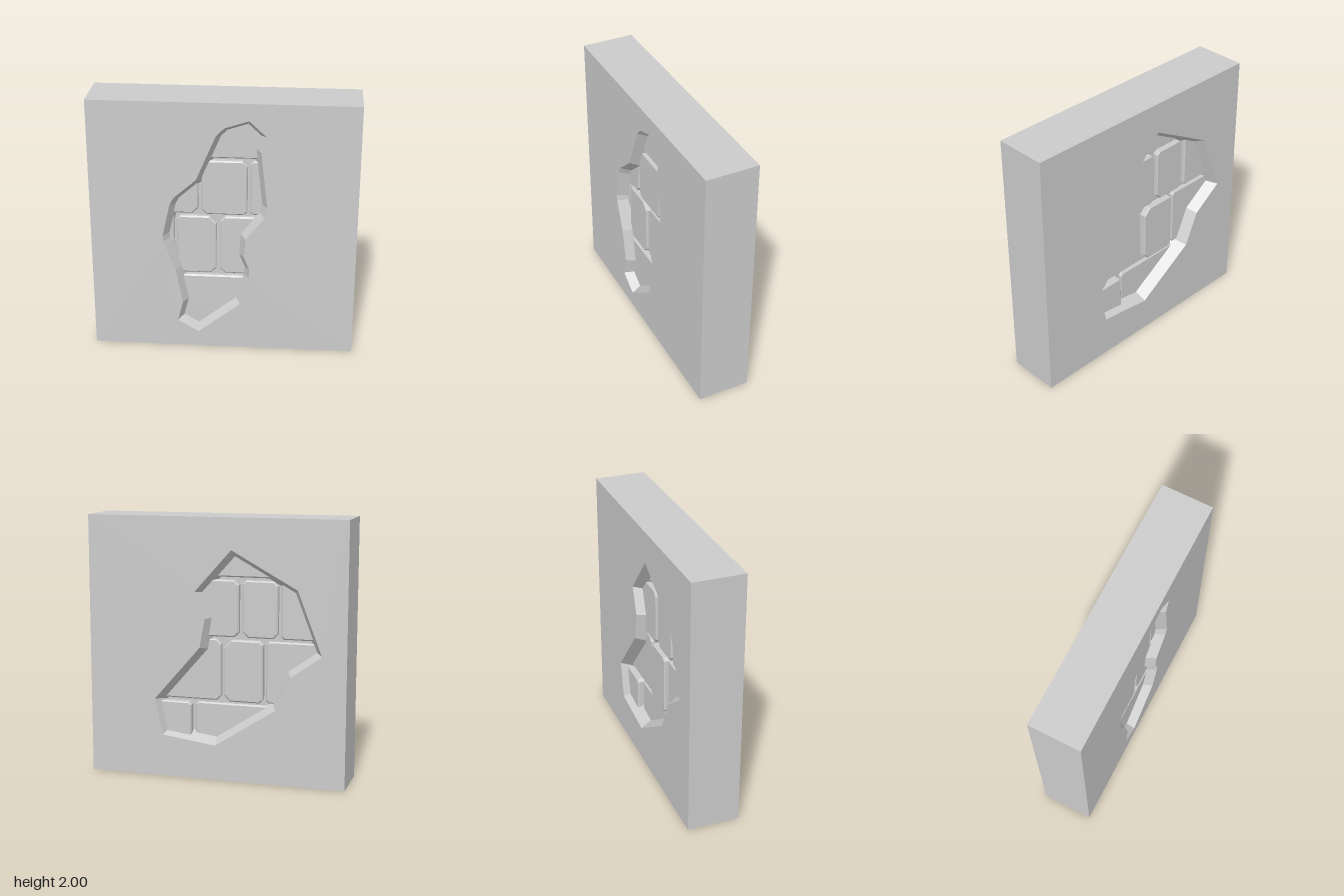
import * as THREE from 'three';

const material = new THREE.MeshStandardMaterial({ color: 0xcccccc, flatShading: true });
const FACE = 0.2; // half the wall thickness

// Broken plaster edges, each as seen when looking straight at its own side
const FRONT_HOLE = [
  [0.19, 1.87], [0.01, 1.81], [-0.05, 1.75], [-0.2, 1.4], [-0.37, 1.25], [-0.4, 1.19],
  [-0.455, 0.94], [-0.45, 0.89], [-0.36, 0.65], [-0.31, 0.38], [-0.35, 0.22], [-0.19, 0.125],
  [0.13, 0.38], [0.2, 0.6], [0.2, 0.68], [0.16, 0.78], [0.17, 0.93], [0.31, 1.11],
  [0.33, 1.19], [0.28, 1.63], [0.32, 1.75],
];
const BACK_HOLE = [
  [0.125, 1.76], [-0.16, 1.44], [-0.08, 1.24], [-0.12, 1.02], [-0.48, 0.605], [-0.42, 0.325],
  [0, 0.27], [0.467, 0.575], [0.58, 0.83], [0.815, 1], [0.63, 1.48],
];

// Bricks: x range, y range, front z, back z, optional corner cuts (BL, BR, TR, TL)
const BRICKS = [
  { x: [-0.6, 0.18], y: [0.1, 0.583], front: 0.13, back: -0.115 },
  { x: [0.205, 0.6], y: [0.1, 0.583], front: 0.13, back: -0.15 },
  { x: [-0.85, -0.375], y: [0.605, 1.078], front: 0.12, back: -0.12 },
  { x: [-0.355, -0.053], y: [0.605, 1.078], front: 0.13, back: -0.14, cuts: [0.02, 0.04, 0.05, 0.02] },
  { x: [-0.025, 0.55], y: [0.605, 1.078], front: 0.125, back: -0.12, cuts: [0.03, 0.03, 0.02, 0.03] },
  { x: [-0.85, -0.49], y: [1.1, 1.53], front: 0.13, back: -0.13 },
  { x: [-0.465, -0.19], y: [1.1, 1.53], front: 0.125, back: -0.13, cuts: [0.03, 0.04, 0.02, 0.03] },
  { x: [-0.165, 0.178], y: [1.1, 1.53], front: 0.135, back: -0.135, cuts: [0.03, 0.02, 0.03, 0.03] },
  { x: [0.2, 0.5], y: [1.1, 1.53], front: 0.125, back: -0.13 },
  { x: [-0.65, 0.5], y: [1.552, 1.92], front: 0.13, back: -0.125 },
];

function add(group, name, geometry) {
  const mesh = new THREE.Mesh(geometry, material);
  mesh.name = name;
  group.add(mesh);
  return mesh;
}

// Moves each corner of a counter-clockwise outline inward
function inset(points, distance) {
  const count = points.length;
  return points.map((p, i) => {
    const d1 = p.clone().sub(points[(i + count - 1) % count]).normalize();
    const d2 = points[(i + 1) % count].clone().sub(p).normalize();
    const n1 = new THREE.Vector2(-d1.y, d1.x);
    const n2 = new THREE.Vector2(-d2.y, d2.x);
    const scale = distance / Math.max(0.5, 1 + n1.dot(n2));
    return p.clone().add(n1.add(n2).multiplyScalar(scale));
  });
}

// Plaster sheet with a jagged hole and its sloping broken edge
function plasterSide(outline) {
  const side = new THREE.Group();
  const rim = outline.map(([x, y]) => new THREE.Vector2(x, y));
  if (THREE.ShapeUtils.area(rim) < 0) rim.reverse();

  const sheet = new THREE.Shape([[-1, 0], [1, 0], [1, 2], [-1, 2]].map(([x, y]) => new THREE.Vector2(x, y)));
  sheet.holes.push(new THREE.Path(rim));
  add(side, 'plasterFace', new THREE.ShapeGeometry(sheet).translate(0, 0, FACE));

  const deep = inset(rim, 0.065);
  const positions = [];
  rim.forEach((a, i) => {
    const j = (i + 1) % rim.length;
    const b = rim[j], A = deep[i], B = deep[j], low = FACE - 0.12;
    positions.push(a.x, a.y, FACE, b.x, b.y, FACE, B.x, B.y, low);
    positions.push(a.x, a.y, FACE, B.x, B.y, low, A.x, A.y, low);
  });
  const edge = new THREE.BufferGeometry();
  edge.setAttribute('position', new THREE.Float32BufferAttribute(positions, 3));
  edge.computeVertexNormals();
  add(side, 'brokenPlasterEdge', edge);
  return side;
}

// Brick with clipped corners and a small chamfer, running through the wall
function brickGeometry({ x, y, front, back, cuts = [0.015, 0.015, 0.015, 0.015] }) {
  const bevel = 0.01;
  const [x0, x1] = [x[0] + bevel, x[1] - bevel];
  const [y0, y1] = [y[0] + bevel, y[1] - bevel];
  const [bl, br, tr, tl] = cuts;
  const shape = new THREE.Shape([
    [x0 + bl, y0], [x1 - br, y0], [x1, y0 + br], [x1, y1 - tr],
    [x1 - tr, y1], [x0 + tl, y1], [x0, y1 - tl], [x0, y0 + bl],
  ].map(([px, py]) => new THREE.Vector2(px, py)));
  return new THREE.ExtrudeGeometry(shape, {
    depth: front - back - 2 * bevel, bevelEnabled: true,
    bevelThickness: bevel, bevelSize: bevel, bevelSegments: 1,
  }).translate(0, 0, back + bevel);
}

export function createModel() {
  const wall = new THREE.Group();
  wall.name = 'brokenWall';

  // Plaster on both sides
  const front = plasterSide(FRONT_HOLE);
  front.name = 'frontPlaster';
  const back = plasterSide(BACK_HOLE);
  back.name = 'backPlaster';
  back.rotation.y = Math.PI;
  wall.add(front, back);

  // Four outer sides of the block
  for (let i = 0; i < 4; i++) {
    const geometry = new THREE.PlaneGeometry(2, 2 * FACE).rotateX(-Math.PI / 2);
    geometry.translate(0, 1, 0).rotateZ(i * Math.PI / 2).translate(0, 1, 0);
    add(wall, 'outerSide', geometry);
  }

  // Mortar core and the bricks set in it
  add(wall, 'mortarCore', new THREE.BoxGeometry(1.8, 1.9, 0.18).translate(0, 1, 0));
  BRICKS.forEach((brick) => add(wall, 'brick', brickGeometry(brick)));
  return wall;
}
